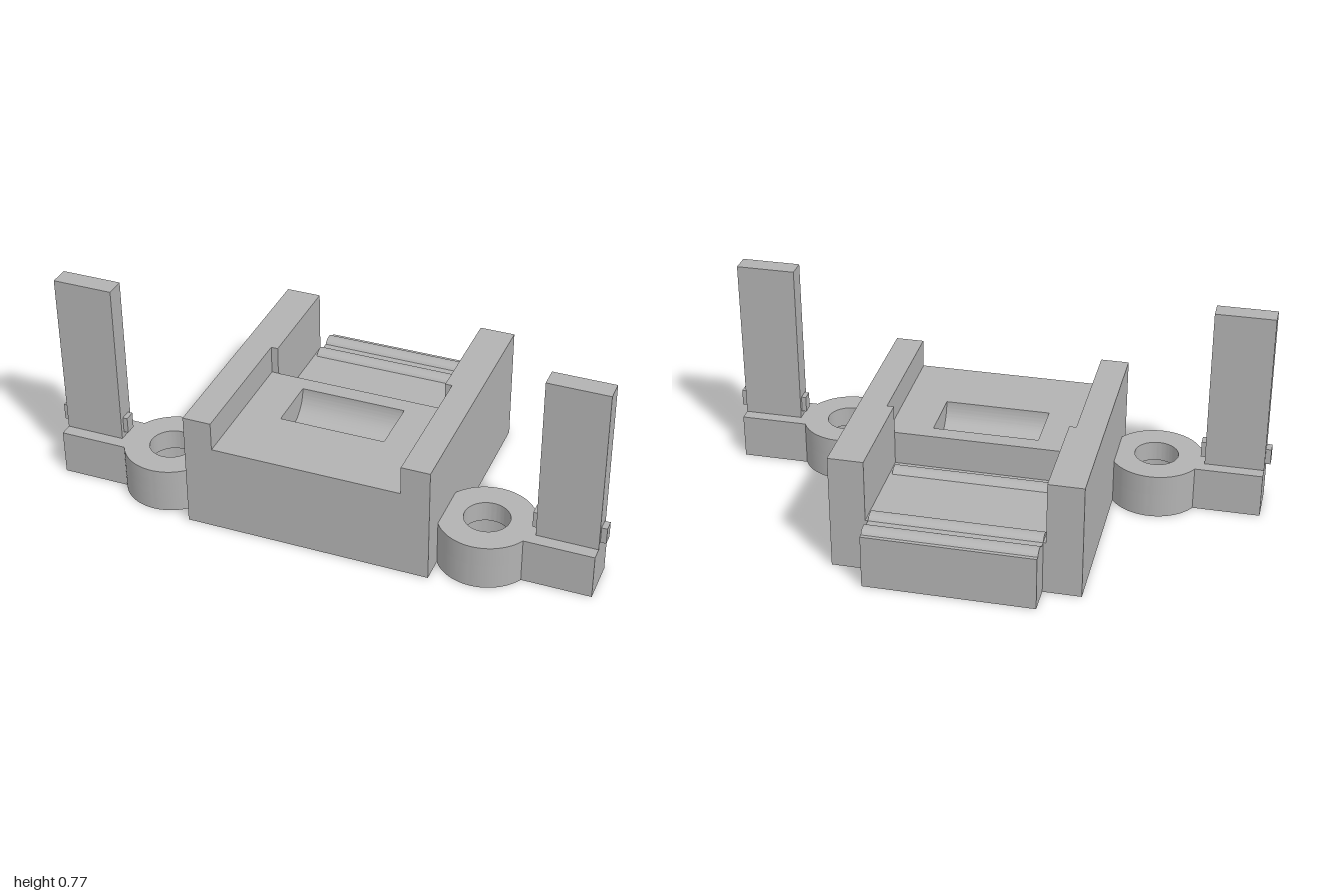
import * as THREE from 'three';
import { toCreasedNormals } from 'three/addons/utils/BufferGeometryUtils.js';

const grey = new THREE.MeshStandardMaterial({ color: 0xb2b2b2 });
grey.name = 'grey plastic';

function add(parent, name, geometry) {
  const mesh = new THREE.Mesh(geometry, grey);
  mesh.name = name;
  parent.add(mesh);
  return mesh;
}

// Box given by its limits on each axis
function block(parent, name, [x0, x1], [y0, y1], [z0, z1]) {
  const g = new THREE.BoxGeometry(x1 - x0, y1 - y0, z1 - z0);
  g.translate((x0 + x1) / 2, (y0 + y1) / 2, (z0 + z1) / 2);
  return add(parent, name, g);
}

function extrude(shape, depth) {
  return new THREE.ExtrudeGeometry(shape, { depth, bevelEnabled: false, curveSegments: 40 });
}

// Side profile drawn in (z, y), swept along x
function sweepX(parent, name, shape, x0, x1) {
  const g = extrude(shape, x1 - x0);
  g.rotateY(-Math.PI / 2);
  g.translate(x1, 0, 0);
  return add(parent, name, toCreasedNormals(g, 0.5));
}

// Sliding floor with three low rounded ridges
function floorProfile() {
  const s = new THREE.Shape();
  const top = 0.2, half = 0.031, rise = 0.017;
  const r = (half * half + rise * rise) / (2 * rise);
  const a = Math.asin(half / r);
  s.moveTo(-0.51, 0);
  s.lineTo(-0.51, top);
  for (const z of [-0.465, -0.375, -0.06]) {
    s.lineTo(z - half, top);
    s.absarc(z, top + rise - r, r, Math.PI / 2 + a, Math.PI / 2 - a, true);
  }
  s.lineTo(-0.01, top);
  s.lineTo(-0.01, 0);
  return s;
}

// Front deck with a half-round pocket
function pocketProfile() {
  const s = new THREE.Shape();
  s.moveTo(-0.01, 0);
  s.lineTo(0.505, 0);
  s.lineTo(0.505, 0.325);
  s.lineTo(0.25, 0.325);
  s.absarc(0.15, 0.325, 0.1, 0, Math.PI, true);
  s.lineTo(-0.01, 0.325);
  return s;
}

// One layer of the ear: ring and arm in plan, with a round hole
function earLayer(holeRadius, y0, y1) {
  const s = new THREE.Shape();
  const a = Math.asin(0.08 / 0.17);
  s.absarc(0, 0, 0.17, a, Math.PI * 2 - a, false);
  s.lineTo(0.395, -0.08);
  s.lineTo(0.395, 0.08);
  const hole = new THREE.Path();
  hole.absarc(0, 0, holeRadius, 0, Math.PI * 2, true);
  s.holes.push(hole);
  const g = extrude(s, y1 - y0);
  g.rotateX(-Math.PI / 2);
  g.translate(0, y0, 0);
  return toCreasedNormals(g, 0.5);
}

export function createModel() {
  const model = new THREE.Group();
  model.name = 'mountingBracket';

  // Central body
  const body = new THREE.Group();
  body.name = 'body';
  model.add(body);
  sweepX(body, 'ridgedFloor', floorProfile(), -0.305, 0.305);
  sweepX(body, 'pocketDeck', pocketProfile(), -0.195, 0.187);
  block(body, 'rightDeck', [-0.34, -0.195], [0, 0.325], [-0.01, 0.505]);
  block(body, 'leftDeck', [0.187, 0.34], [0, 0.325], [-0.01, 0.505]);

  for (const s of [1, -1]) {
    const span = (a, b) => (s > 0 ? [a, b] : [-b, -a]);
    block(body, 'sideWall', span(0.34, 0.442), [0, 0.43], [-0.405, 0.505]);
    block(body, 'rearWallLining', span(0.315, 0.34), [0, 0.43], [-0.405, -0.01]);
    block(body, 'floorEdge', span(0.305, 0.315), [0, 0.2], [-0.405, -0.01]);

    // Screw ear with counterbore below, upright post and latch tab
    const ear = new THREE.Group();
    ear.name = s > 0 ? 'leftEar' : 'rightEar';
    ear.position.set(0.585 * s, 0, 0.322);
    ear.rotation.y = s > 0 ? 0 : Math.PI;
    model.add(ear);
    add(ear, 'earTop', earLayer(0.08, 0.09, 0.165));
    add(ear, 'earCounterbore', earLayer(0.13, 0, 0.09));
    block(ear, 'post', [0.18, 0.395], [0.165, 0.77], [-0.035, 0.035]);
    block(ear, 'latchTab', [0.163, 0.415], [0.185, 0.245], [-0.02, 0.02]);
  }
  return model;
}
